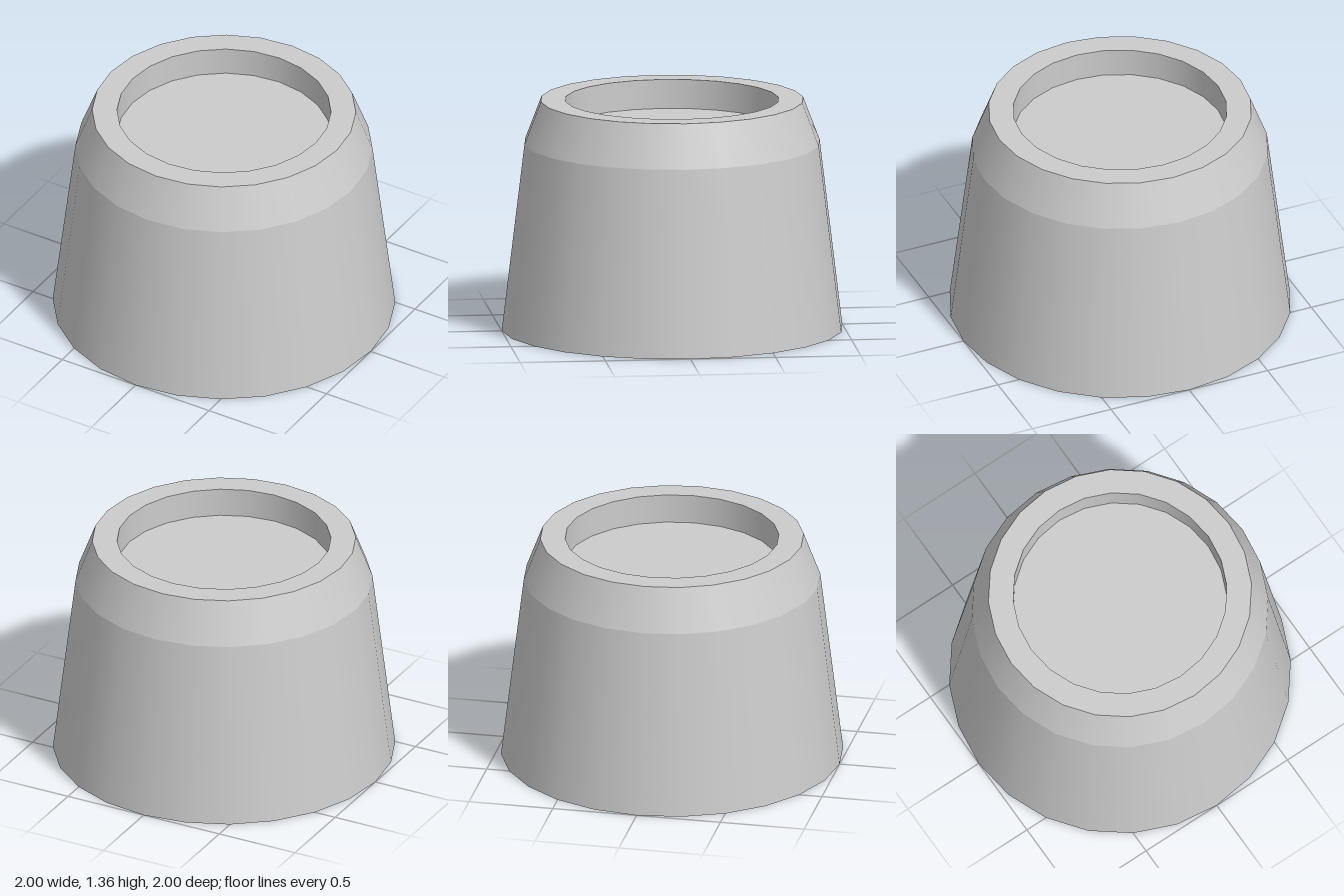
import * as THREE from 'three';

const SIDES = 24;
const material = new THREE.MeshStandardMaterial({ color: 0xcccccc, side: THREE.DoubleSide });

// One ring-shaped surface between two [radius, height] points, smooth around, sharp at its edges
function band(name, from, to) {
  const points = [new THREE.Vector2(...from), new THREE.Vector2(...to)];
  const mesh = new THREE.Mesh(new THREE.LatheGeometry(points, SIDES), material);
  mesh.name = name;
  return mesh;
}

export function createModel() {
  const group = new THREE.Group();
  group.name = 'taperedCap';

  const base = [1, 0];
  const shoulder = [0.867, 1.1];
  const rimOuter = [0.77, 1.355];
  const rimInner = [0.625, 1.355];
  const floorEdge = [0.625, 1.183];

  group.add(
    band('sideWall', base, shoulder), // open at the bottom
    band('shoulder', shoulder, rimOuter),
    band('topRim', rimOuter, rimInner),
    band('recessWall', rimInner, floorEdge)
  );

  // Floor of the recess
  const floor = new THREE.Mesh(new THREE.CircleGeometry(floorEdge[0], SIDES), material);
  floor.name = 'recessFloor';
  floor.rotation.x = -Math.PI / 2;
  floor.position.y = floorEdge[1];
  group.add(floor);

  return group;
}
